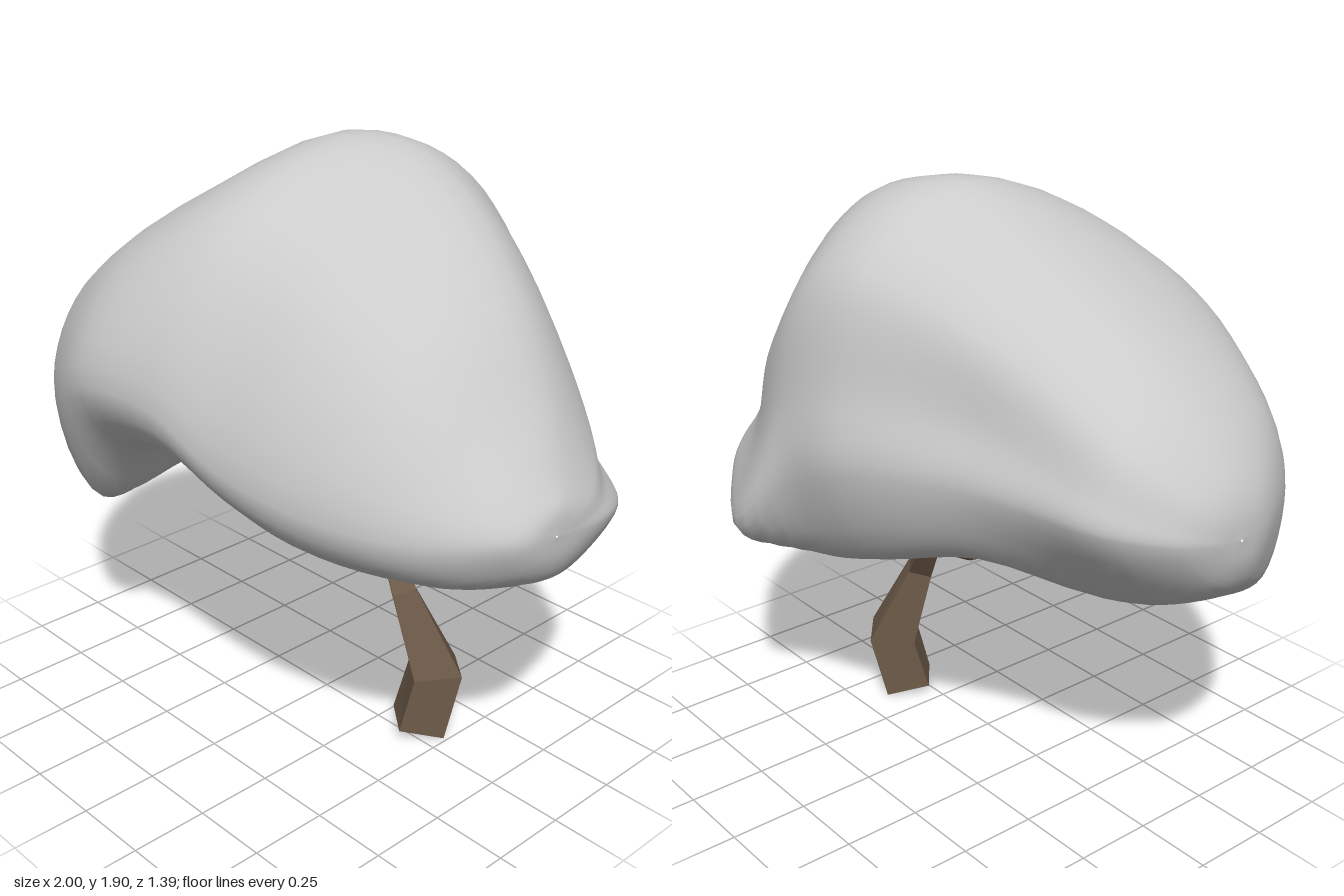
import * as THREE from 'three';

// Skin a list of closed rings of points
function loft(rings) {
  const n = rings[0].length, pos = [], index = [];
  rings.forEach(r => r.forEach(p => pos.push(p.x, p.y, p.z)));
  for (let i = 0; i < rings.length - 1; i++) {
    for (let j = 0; j < n; j++) {
      const a = i * n + j, b = i * n + (j + 1) % n;
      index.push(a, b, a + n, b, b + n, a + n);
    }
  }
  const g = new THREE.BufferGeometry();
  g.setAttribute('position', new THREE.Float32BufferAttribute(pos, 3));
  g.setIndex(index);
  g.computeVertexNormals();
  return g;
}

// Four-sided tapering limb; each point is [x, y, z, radius]
function limb(name, points, material) {
  const c = points.map(p => new THREE.Vector3(p[0], p[1], p[2]));
  const last = c.length - 1, zAxis = new THREE.Vector3(0, 0, 1);
  const rings = c.map((p, i) => {
    const t = new THREE.Vector3();
    if (i > 0) t.add(p.clone().sub(c[i - 1]).normalize());
    if (i < last) t.add(c[i + 1].clone().sub(p).normalize());
    t.normalize();
    const u = t.clone().cross(zAxis).normalize(), v = u.clone().cross(t);
    return [0, 1, 2, 3].map(k => {
      const a = -k * Math.PI / 2 - 0.1, r = points[i][3];
      return p.clone().addScaledVector(u, r * Math.cos(a)).addScaledVector(v, r * Math.sin(a));
    });
  });
  const cap = p => [p, p, p, p];
  const mesh = new THREE.Mesh(loft([cap(c[0]), ...rings, cap(c[last])]), material);
  mesh.name = name;
  return mesh;
}

// Crown sections along x:
// x, top y z, front y z, front lip y z, back underside y z, back y z,
// front shoulder, back shoulder and back waist fullness
const SECTIONS = [
  [-0.95, 1.22, 0.07, 1.05, 0.27, 0.88, 0.20, 0.91, -0.01, 1.06, -0.14, 0.72, 0.72, 0.93],
  [-0.82, 1.38, 0.05, 1.06, 0.46, 0.76, 0.38, 0.82, -0.04, 1.08, -0.28, 0.72, 0.72, 0.93],
  [-0.60, 1.56, 0.00, 1.10, 0.61, 0.66, 0.46, 0.77, -0.10, 1.10, -0.36, 0.72, 0.72, 0.91],
  [-0.35, 1.72, -0.05, 1.20, 0.69, 0.95, 0.53, 0.86, -0.32, 1.12, -0.46, 0.71, 0.73, 0.88],
  [-0.05, 1.89, -0.12, 1.20, 0.66, 1.03, 0.57, 0.78, -0.43, 1.10, -0.61, 0.69, 0.74, 0.93],
  [0.18, 1.87, -0.18, 1.08, 0.62, 0.93, 0.53, 0.72, -0.48, 1.00, -0.64, 0.69, 0.74, 0.95],
  [0.40, 1.76, -0.18, 1.03, 0.58, 0.86, 0.48, 0.69, -0.48, 0.80, -0.69, 0.69, 0.64, 0.80],
  [0.65, 1.54, -0.12, 1.00, 0.50, 0.84, 0.40, 0.70, -0.38, 0.83, -0.56, 0.69, 0.60, 0.73],
  [0.83, 1.29, -0.05, 1.00, 0.39, 0.85, 0.31, 0.75, -0.22, 0.87, -0.42, 0.68, 0.59, 0.73],
  [0.95, 1.12, 0.04, 1.00, 0.27, 0.89, 0.20, 0.83, -0.05, 0.93, -0.23, 0.68, 0.62, 0.80],
];

function crownGeometry() {
  const rows = SECTIONS.map(([x, ty, tz, fy, fz, uy, uz, vy, vz, by, bz, kf, kb, w]) => {
    const P = (y, z) => new THREE.Vector3(x, y, z);
    const between = (y, z, drop, out) => P(ty + (y - ty) * drop, tz + (z - tz) * out);
    // The underside is hollow around the branches
    const hollow = Math.max(-0.03, 0.045 * (1 - ((x - 0.15) / 0.5) ** 2));
    return [P(ty, tz), between(fy, fz, 1 - kf, kf), P(fy, fz), P(uy, uz),
      P((uy + vy) / 2 + hollow, (uz + vz) / 2), P(vy, vz), P(by, bz),
      between(by, bz, 0.68, w), between(by, bz, 1 - kb, kb)];
  });
  // Small rings, then points, close both ends
  const end = (row, x, tip, s) => row.map(p => new THREE.Vector3(x, tip.y, tip.z)
    .lerp(new THREE.Vector3(x, p.y, p.z), s));
  const leftTip = new THREE.Vector3(1, 0.99, 0.09), rightTip = new THREE.Vector3(-1, 1.04, 0.07);
  const first = rows[0], final = rows[rows.length - 1];
  const all = [end(first, -1, rightTip, 0.02), end(first, -0.99, rightTip, 0.5), ...rows,
    end(final, 0.99, leftTip, 0.55), end(final, 1, leftTip, 0.02)];
  // Smooth lengthwise, then around
  const columns = first.map((_, j) => new THREE.CatmullRomCurve3(all.map(r => r[j])));
  const steps = (all.length - 1) * 4, rings = [];
  for (let i = 0; i <= steps; i++) {
    const ring = new THREE.CatmullRomCurve3(columns.map(c => c.getPoint(i / steps)), true);
    rings.push(ring.getPoints(54).slice(0, 54));
  }
  return loft(rings);
}

export function createModel() {
  const model = new THREE.Group();
  model.name = 'tree';

  // Foliage
  const crown = new THREE.Mesh(crownGeometry(), new THREE.MeshStandardMaterial({ color: 0xcccccc }));
  crown.name = 'foliage';
  model.add(crown);

  // Trunk and branches
  const bark = new THREE.MeshStandardMaterial({ color: 0x6e5b49, flatShading: true });
  const limbs = {
    trunk: [[0.385, 0.018, -0.05, 0.106], [0.415, 0.22, -0.09, 0.108], [0.32, 0.49, -0.035, 0.055], [0.24, 0.61, -0.06, 0.05], [0.24, 0.65, -0.06, 0.04]],
    mainBranch: [[0.27, 0.62, -0.06, 0.04], [0.06, 0.65, -0.04, 0.036], [-0.03, 0.68, 0, 0.03], [-0.28, 0.72, 0.08, 0.022], [-0.38, 0.9, 0.1, 0.017]],
    sideBranch: [[0, 0.67, -0.01, 0.03], [-0.17, 0.83, 0.05, 0.024], [-0.22, 0.93, 0.07, 0.02]],
    smallTwig: [[-0.05, 0.68, 0, 0.024], [-0.01, 0.74, -0.05, 0.022], [0, 0.8, -0.08, 0.018]],
    leftBranch: [[0.23, 0.61, -0.06, 0.04], [0.31, 0.67, -0.02, 0.032], [0.43, 0.76, 0.04, 0.02]],
    shortTwig: [[0.23, 0.62, -0.06, 0.036], [0.22, 0.68, -0.13, 0.028], [0.22, 0.74, -0.19, 0.02]],
  };
  for (const [name, points] of Object.entries(limbs)) model.add(limb(name, points, bark));
  return model;
}
